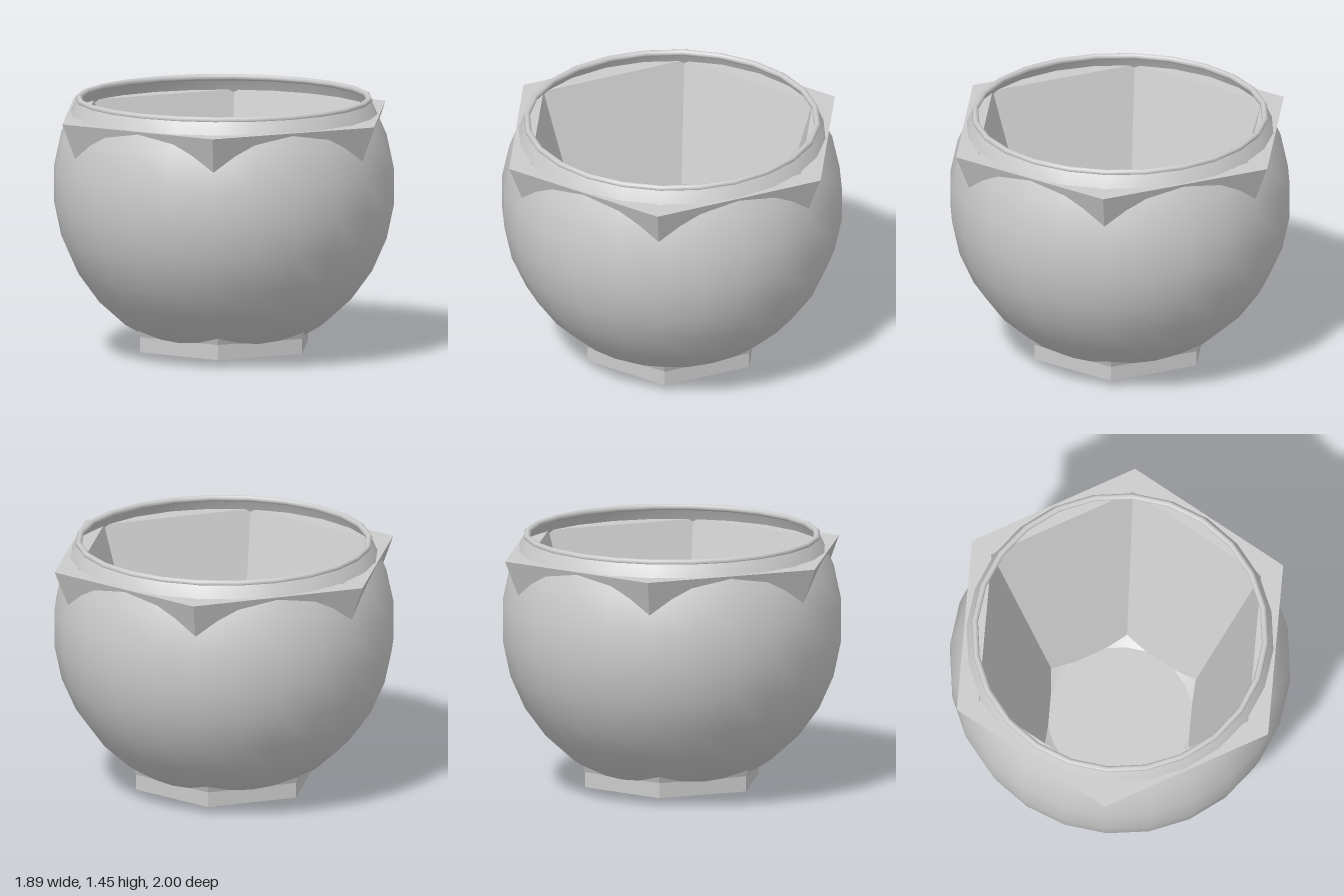
import * as THREE from 'three';

export function createModel() {
  const model = new THREE.Group();
  const add = (name, geometry, options = {}) => {
    const material = new THREE.MeshStandardMaterial({ color: 0xcccccc, ...options });
    const mesh = new THREE.Mesh(geometry, material);
    mesh.name = name;
    model.add(mesh);
    return mesh;
  };

  // Round bowl: a thin sphere cut open 60 degrees from its top pole
  const bowl = add('bowl',
    new THREE.SphereGeometry(0.95, 24, 10, 0, Math.PI * 2, Math.PI / 3, Math.PI * 2 / 3),
    { side: THREE.DoubleSide });
  bowl.position.y = 0.95;

  // Rounded lip around the opening
  const rim = add('rim', new THREE.TorusGeometry(0.808, 0.018, 8, 24));
  rim.rotation.x = Math.PI / 2;
  rim.position.y = 1.432;

  // Hexagonal pot: straight foot, flared wall, flat top edge, inner wall and floor
  const profile = [
    [0, 0.045], [0.52, 0.045], [0.52, 0.13], [1, 1.355],
    [0.866, 1.355], [0.453, 0.092], [0, 0.092],
  ].map(([r, y]) => new THREE.Vector2(r, y));
  const pot = new THREE.LatheGeometry(profile, 6).toNonIndexed();
  pot.computeVertexNormals();
  add('hexagonalPot', pot, { flatShading: true });

  return model;
}
